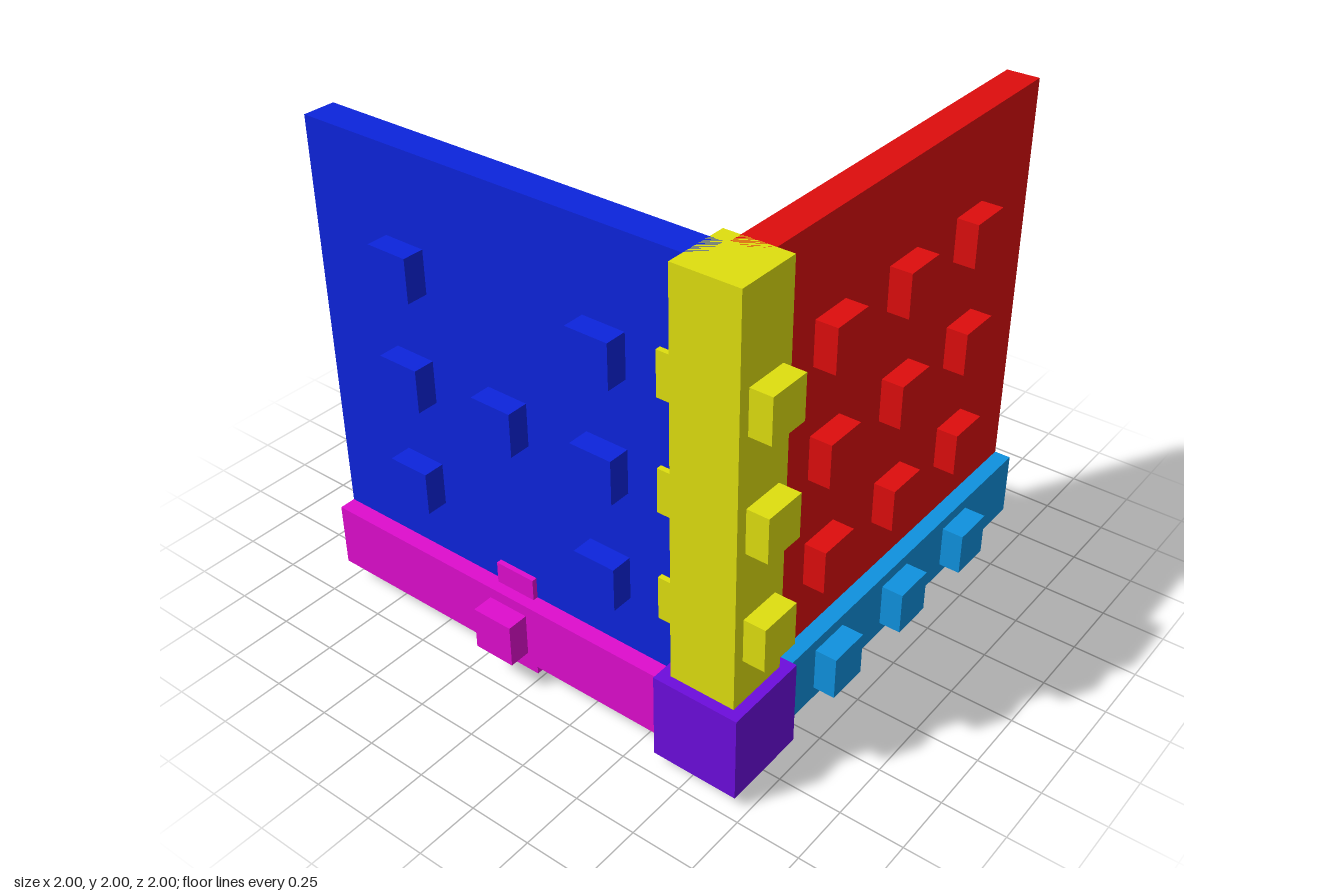
import * as THREE from 'three';

const COLORS = {
  red: 0xdd0d0d, blue: 0x0c24dc, green: 0x24de0c, yellow: 0xdede0f,
  purple: 0x6c0cdc, cyan: 0x0f91de, magenta: 0xde0ccd, grey: 0xcccccc,
};
const AXIS = -0.78;                    // line through the corner on x and z
const BEAM_Y = 0.225;                  // height of the horizontal beams
const STUD = 0.175;                    // side of a square stud
const ALONG_X = [-0.333, 0.111, 0.555];
const ALONG_Y = [0.67, 1.115, 1.56];
const ALONG_Z = [0.333, -0.111, -0.555];

export function createModel() {
  const model = new THREE.Group();
  const mats = {};
  for (const key in COLORS) {
    mats[key] = new THREE.MeshStandardMaterial({ color: COLORS[key], flatShading: true });
  }

  // Box given by its lower and upper limit on each axis
  function box(name, color, x, y, z, parent = model) {
    const geo = new THREE.BoxGeometry(x[1] - x[0], y[1] - y[0], z[1] - z[0]);
    const mesh = new THREE.Mesh(geo, mats[color]);
    mesh.name = name;
    mesh.position.set((x[0] + x[1]) / 2, (y[0] + y[1]) / 2, (z[0] + z[1]) / 2);
    parent.add(mesh);
  }
  const span = (c, half) => [c - half, c + half];
  const sq = (c) => span(c, STUD / 2);
  const group = (name) => {
    const g = new THREE.Group();
    g.name = name;
    model.add(g);
    return g;
  };

  // Corner block and the three beams that leave it
  const b = 0.133;
  box('cornerBlock', 'purple', span(AXIS, 0.175), span(BEAM_Y, 0.175), span(AXIS, 0.175));
  box('verticalBeam', 'yellow', span(AXIS, b), [0.3, 2], span(AXIS, b));
  box('frontBeam', 'cyan', [-0.7, 1], span(BEAM_Y, b), span(AXIS * -1, b));
  box('sideBeam', 'magenta', span(AXIS, b), span(BEAM_Y, b), [-1, 0.7]);
  // The corner sits at the front, so its z is positive
  for (const name of ['cornerBlock', 'verticalBeam']) {
    model.getObjectByName(name).position.z = -AXIS;
  }

  // Three panels between the beams
  const p = 0.066;
  box('frontPanel', 'red', [-0.7, 1], [0.3, 2], span(-AXIS, p));
  box('sidePanel', 'blue', span(AXIS, p), [0.3, 2], [-1, 0.7]);
  box('floorPanel', 'green', [AXIS, 1], span(BEAM_Y, p), [-1.001, 0.7]);

  // Studs through the beams
  const beamStuds = group('beamStuds');
  const s = 0.22;
  for (const y of ALONG_Y) box('verticalBeamStud', 'yellow', sq(AXIS), sq(y), span(-AXIS, s), beamStuds);
  for (const x of ALONG_X) box('frontBeamStud', 'cyan', sq(x), sq(BEAM_Y), span(-AXIS, s), beamStuds);
  box('sideBeamCrossStud', 'magenta', span(AXIS, s), sq(BEAM_Y), sq(ALONG_Z[1]), beamStuds);
  box('sideBeamUprightStud', 'magenta', sq(AXIS), span(BEAM_Y, 0.222), sq(ALONG_Z[1]), beamStuds);

  // Studs on both faces of the panels; the outer side and the underside
  // leave out the two beside the middle of the centre row
  const panelStuds = group('panelStuds');
  const t = 0.153;
  for (let i = 0; i < 3; i++) {
    for (let j = 0; j < 3; j++) {
      const low = j === 1 && i !== 1 ? 0 : t;
      box('frontPanelStud', 'red', sq(ALONG_X[i]), sq(ALONG_Y[j]), span(-AXIS, t), panelStuds);
      box('sidePanelStud', 'blue', [AXIS - low, AXIS + t], sq(ALONG_Y[i]), sq(ALONG_Z[j]), panelStuds);
      box('floorPanelStud', 'green', sq(ALONG_X[i]), [BEAM_Y - low, BEAM_Y + t], sq(ALONG_Z[j]), panelStuds);
    }
  }

  // Floating pyramid pointing towards +x
  const geo = new THREE.ConeGeometry(0.222 * Math.SQRT2, 0.444, 4, 1);
  geo.rotateY(Math.PI / 4);
  geo.rotateZ(-Math.PI / 2);
  const pyramid = new THREE.Mesh(geo, mats.grey);
  pyramid.name = 'pyramid';
  pyramid.position.set(0.111, 1.112, -0.111);
  model.add(pyramid);

  return model;
}
